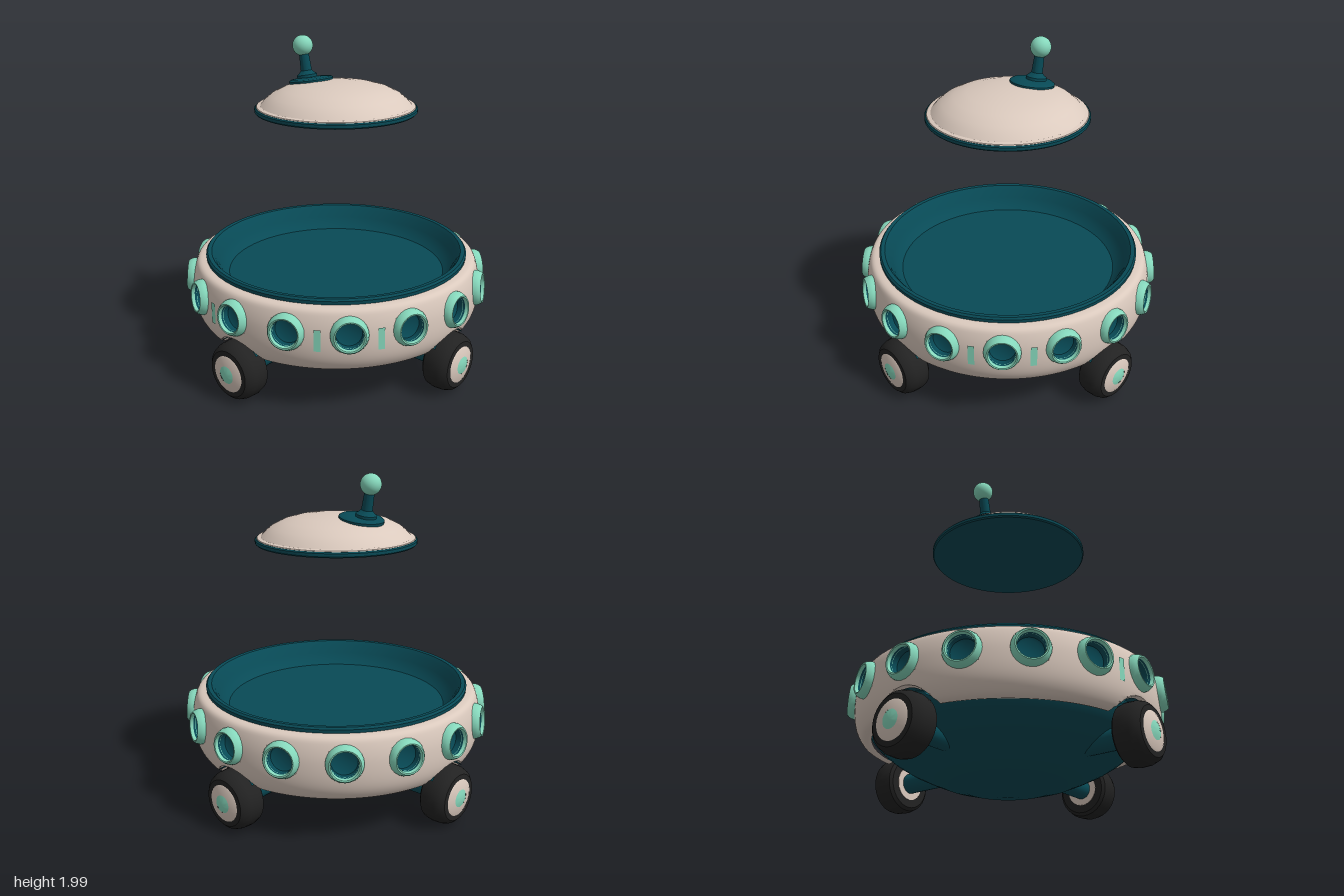
import * as THREE from 'three';
import { toCreasedNormals } from 'three/addons/utils/BufferGeometryUtils.js';

const mat = (name, color, side = THREE.FrontSide) => {
  const m = new THREE.MeshStandardMaterial({ color, side });
  m.name = name;
  return m;
};

export function createModel() {
  const teal = mat('deepTeal', 0x084a56, THREE.DoubleSide);
  const cream = mat('cream', 0xdbcabe);
  const mint = mat('mint', 0x86d8bc);
  const black = mat('rubberBlack', 0x222222);

  const root = new THREE.Group();
  root.name = 'saucer';

  const add = (parent, name, geo, material) => {
    const m = new THREE.Mesh(geo, material);
    m.name = name;
    parent.add(m);
    return m;
  };
  const vecs = pts => pts.map(p => new THREE.Vector2(p[0], p[1]));
  const spin = (pts, seg) => new THREE.LatheGeometry(vecs(pts), seg);
  const crease = (geo, angle = 0.6) => toCreasedNormals(geo, angle);
  // Lathe whose axis points along +z, for parts set radially on the hull
  const spinZ = (pts, seg) => crease(spin(pts, seg).rotateX(Math.PI / 2));
  const radial = (name, angle) => {
    const g = new THREE.Group();
    g.name = name;
    g.rotation.y = angle;
    root.add(g);
    return g;
  };

  const wheelY = 0.19, archR = 0.2, portY = 0.527, portStep = Math.PI / 8;

  // Hull band: arched over the four wheels and dented behind each porthole
  const hullProfile = new THREE.SplineCurve(vecs([[0.795, 0.292], [0.82, 0.282], [0.857, 0.3], [0.89, 0.36],
    [0.904, 0.44], [0.902, 0.54], [0.885, 0.62], [0.862, 0.66], [0.81, 0.67]]));
  const hull = new THREE.LatheGeometry(hullProfile.getSpacedPoints(40), 256);
  const pos = hull.attributes.position;
  for (let i = 0; i < pos.count; i++) {
    const x = pos.getX(i), y = pos.getY(i), z = pos.getZ(i);
    const t = Math.min(Math.abs(x), Math.abs(z));
    if (t < archR) pos.setY(i, Math.max(y, wheelY + Math.sqrt(archR * archR - t * t)));
    const a = Math.atan2(x, z);
    const across = 0.9 * (a - Math.round(a / portStep) * portStep);
    if (Math.hypot(across, y - portY) < 0.088) {
      pos.setX(i, x * 0.93);
      pos.setZ(i, z * 0.93);
    }
  }
  add(root, 'hullBand', crease(hull, 0.8), cream);

  // Open cockpit: lip, sloping wall and floor
  add(root, 'cockpit', crease(spin([[0.815, 0.64], [0.82, 0.69], [0.81, 0.702], [0.785, 0.7],
    [0.765, 0.675], [0.74, 0.625], [0.71, 0.58], [0.68, 0.555], [0, 0.552]], 64), 0.6), teal);

  // Rounded belly
  add(root, 'belly', spin([[0, 0.01], [0.13, 0.013], [0.26, 0.03], [0.4, 0.07], [0.5, 0.112],
    [0.6, 0.16], [0.68, 0.21], [0.75, 0.265], [0.8, 0.315], [0.82, 0.42]], 64), teal);

  // Sixteen portholes, tipped slightly upwards: a rounded ring around a recessed cup
  for (let i = 0; i < 16; i++) {
    const g = new THREE.Group();
    g.name = 'portholeFrame';
    g.position.set(0, portY, 0.9);
    g.rotation.x = -0.08;
    radial('porthole', i * portStep).add(g);
    add(g, 'portholeRing', spinZ([[0.108, -0.03], [0.107, 0.008], [0.099, 0.028],
      [0.089, 0.041], [0.081, 0.039], [0.077, 0.025], [0.076, 0.005]], 24), mint);
    add(g, 'portholeCup', spinZ([[0.0765, 0.02], [0.075, -0.03], [0.06, -0.038], [0, -0.04]], 24), teal);
  }

  // Painted marks between some of the portholes
  for (const a of [-9, -5, -3, 3, 5]) {
    const g = radial('sideMark', a * Math.PI / 16);
    add(g, 'sideMarkPlate', new THREE.PlaneGeometry(0.038, 0.13), mint).position.set(0, 0.495, 0.908);
  }

  // Four wheels facing outwards, each with its axle and wheel well
  for (let i = 0; i < 4; i++) {
    const g = radial('wheel', i * Math.PI / 2);
    g.position.y = wheelY;
    add(g, 'tyre', spinZ([[0.1, 0.79], [0.15, 0.79], [0.168, 0.805], [0.177, 0.845],
      [0.174, 0.9], [0.162, 0.935], [0.14, 0.955], [0.108, 0.957]], 32), black);
    add(g, 'hub', spinZ([[0.112, 0.956], [0.1, 0.962], [0.053, 0.97]], 32), cream);
    add(g, 'hubCap', spinZ([[0.054, 0.969], [0.03, 0.976], [0, 0.978]], 24), mint);
    add(g, 'innerHub', spinZ([[0, 0.786], [0.102, 0.788], [0.104, 0.795]], 32), cream);
    const axle = new THREE.CylinderGeometry(0.062, 0.062, 0.4, 20).rotateX(Math.PI / 2);
    add(g, 'axle', axle, teal).position.z = 0.62;
    const well = new THREE.CylinderGeometry(0.194, 0.194, 0.12, 24, 1, true, Math.PI - 0.85, 1.7);
    add(g, 'wheelWell', well.rotateX(Math.PI / 2), teal).position.z = 0.81;
  }

  // Floating lid: teal base plate with a cream dome
  const lid = new THREE.Group();
  lid.name = 'lid';
  root.add(lid);
  add(lid, 'lidPlate', crease(spin([[0, 1.568], [0.485, 1.568], [0.492, 1.576], [0.492, 1.594],
    [0.485, 1.601], [0.4, 1.601]], 64)), teal);
  add(lid, 'lidDome', crease(spin([[0.482, 1.6], [0.478, 1.606], [0.455, 1.611], [0.43, 1.638], [0.39, 1.671],
    [0.32, 1.705], [0.24, 1.727], [0.13, 1.743], [0, 1.749]], 64), 0.5), cream);

  // Antenna near the back: foot plate, leaning stalk and ball
  const foot = add(lid, 'antennaFoot', crease(spin([[0.134, -0.03], [0.136, 0.004], [0.125, 0.012],
    [0.07, 0.018], [0, 0.02]], 32)), teal);
  foot.position.set(0, 1.733, -0.2);
  foot.rotation.x = -0.15;
  const stalk = add(lid, 'antennaStalk', crease(spin([[0.062, -0.02], [0.062, 0.024], [0.048, 0.034],
    [0.034, 0.05], [0.029, 0.17], [0, 0.17]], 32)), teal);
  stalk.position.set(0, 1.738, -0.231);
  stalk.rotation.x = -0.18;
  add(lid, 'antennaBall', new THREE.SphereGeometry(0.063, 32, 20), mint).position.set(0, 1.937, -0.268);

  return root;
}
